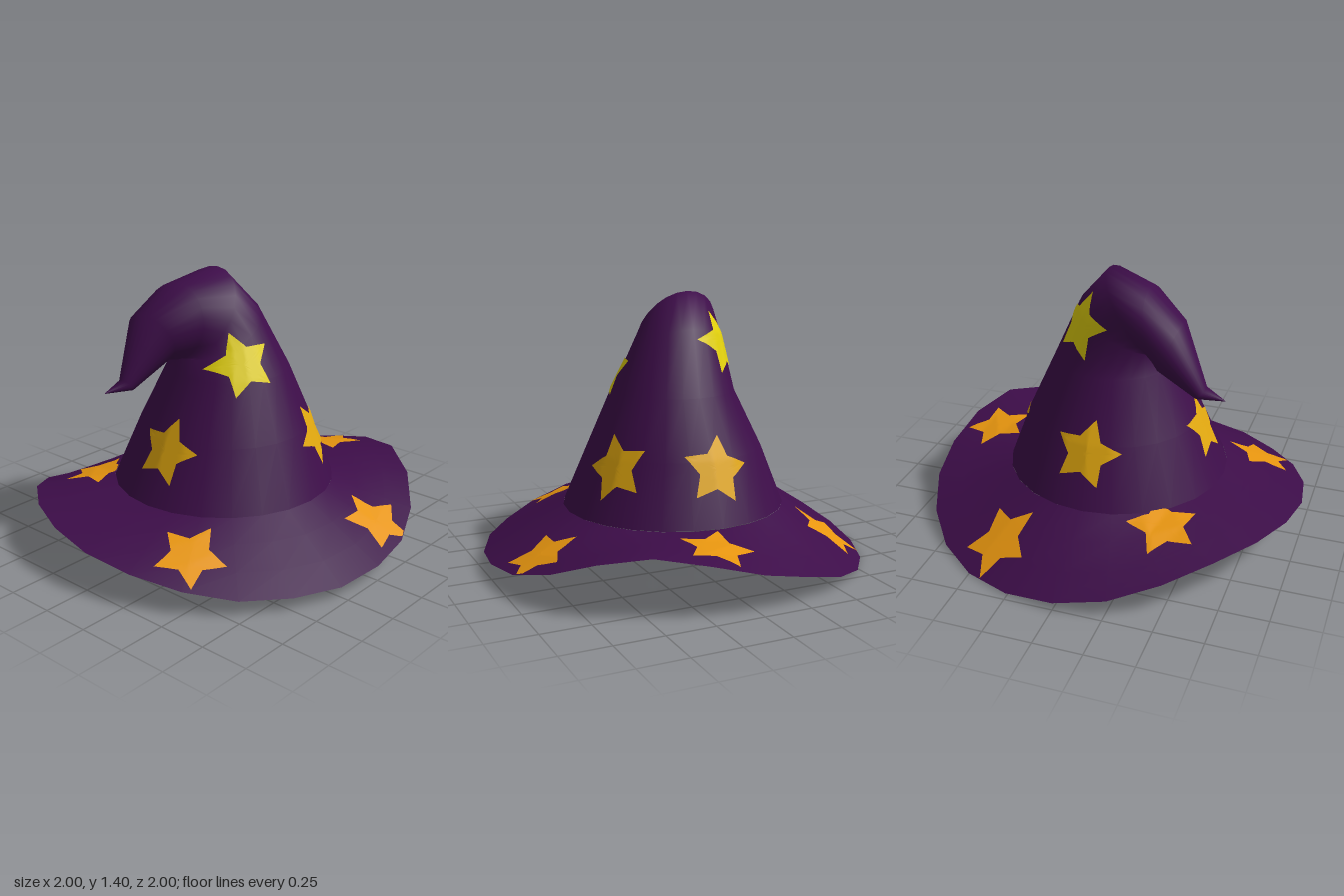
import * as THREE from 'three';

const SIDES = 24;
const V = (x, y, z) => new THREE.Vector3(x, y, z);

// Smooth surface through closed rings of equal point count
function loft(rings) {
  const n = rings[0].length, index = [];
  for (let r = 0; r < rings.length - 1; r++) {
    for (let i = 0; i < n; i++) {
      const a = r * n + i, b = r * n + (i + 1) % n;
      index.push(a, a + n, b, b, a + n, b + n);
    }
  }
  const geo = new THREE.BufferGeometry().setFromPoints(rings.flat());
  geo.setIndex(index);
  geo.computeVertexNormals();
  return geo;
}

const ring = (fn) => Array.from({ length: SIDES }, (_, i) => fn(i * 2 * Math.PI / SIDES, i));

// Crown ring: outer and inner profile points in x/y, then centre and half width in z
const crownRing = ([ox, oy, ix, iy, z, w]) => ring((a) => {
  const c = Math.cos(a);
  return V((ox + ix) / 2 + c * (ox - ix) / 2, (oy + iy) / 2 + c * (oy - iy) / 2, z + w * Math.sin(a));
});

// Five-pointed star laid onto a target surface, seen along direction n
function starPatch(target, centre, n, radius, turn) {
  const rows = 8, split = 5, count = 10 * split;
  const u = Math.abs(n.y) > 0.99 ? V(1, 0, 0) : V(0, 1, 0).cross(n).normalize();
  const v = n.clone().cross(u);
  const down = n.clone().negate();
  const caster = new THREE.Raycaster();
  const corner = (k) => {
    const a = THREE.MathUtils.degToRad(90 + turn + k * 36);
    const r = radius * (k % 2 ? 0.53 : 1);
    return new THREE.Vector2(Math.cos(a) * r, Math.sin(a) * r);
  };
  // Points past the rim are pulled inwards until they land
  const land = (p) => {
    for (let t = 1; t > 0.05; t *= 0.96) {
      const from = centre.clone().addScaledVector(u, p.x * t).addScaledVector(v, p.y * t).addScaledVector(n, 0.25);
      caster.set(from, down);
      const hit = caster.intersectObject(target)[0];
      if (hit && hit.distance < 0.6) return hit.point.addScaledVector(n, 0.006);
    }
    return centre.clone();
  };
  const points = [land(new THREE.Vector2())], index = [];
  for (let r = 1; r <= rows; r++) {
    for (let i = 0; i < count; i++) {
      const k = Math.floor(i / split);
      const p = corner(k).lerp(corner(k + 1), (i % split) / split);
      points.push(land(p.multiplyScalar(r / rows)));
      const j = (i + 1) % count, a = 1 + (r - 1) * count;
      if (r === 1) index.push(0, 1 + i, 1 + j);
      else index.push(a - count + i, a + i, a + j, a - count + i, a + j, a - count + j);
    }
  }
  const geo = new THREE.BufferGeometry().setFromPoints(points);
  geo.setIndex(index);
  geo.computeVertexNormals();
  return geo;
}

export function createModel() {
  const hat = new THREE.Group();
  hat.name = 'wizardHat';
  const material = (name, color, side = THREE.FrontSide) => {
    const m = new THREE.MeshStandardMaterial({ color, side });
    m.name = name;
    return m;
  };
  const felt = material('purple felt', 0x3d0d49, THREE.DoubleSide);
  const orange = material('orange star', 0xe8960f);
  const gold = material('gold star', 0xe2a80f);
  const yellow = material('yellow star', 0xe2d00c);
  const add = (name, geo, mat) => {
    const mesh = new THREE.Mesh(geo, mat);
    mesh.name = name;
    hat.add(mesh);
    return mesh;
  };

  // Wavy brim, from the rim to the crown
  const rimHeights = [
    0.2, 0.27, 0.31, 0.26, 0.17, 0.105, 0.08, 0.06, 0.068, 0.08, 0.12, 0.165,
    0.2, 0.235, 0.25, 0.235, 0.17, 0.09, 0.04, 0.01, 0, 0.02, 0.07, 0.14,
  ];
  const brim = add('brim', loft([0, 0.33, 0.67, 1].map((t) => ring((a, i) => {
    const r = THREE.MathUtils.lerp(1, 0.58, t);
    return V(r * Math.cos(a), THREE.MathUtils.lerp(rimHeights[i], 0.298, t), r * Math.sin(a));
  }))), felt);

  // Crown that folds over into a drooping tip
  const crown = add('crown', loft([
    [0.58, 0.3, -0.58, 0.295, 0, 0.58],
    [0.465, 0.61, -0.44, 0.6, 0, 0.455],
    [0.335, 0.9, -0.3, 0.9, 0.01, 0.32],
    [0.185, 1.22, -0.265, 0.985, -0.03, 0.25],
    [0.03, 1.4, -0.265, 0.97, -0.07, 0.215],
    [-0.2, 1.345, -0.265, 0.963, -0.13, 0.2],
    [-0.39, 1.21, -0.275, 0.955, -0.19, 0.15],
    [-0.52, 0.895, -0.47, 0.832, -0.215, 0.045],
    [-0.62, 0.85, -0.62, 0.846, -0.235, 0.002],
  ].map(crownRing)), felt);

  // Stars on the brim: x, z, radius, turn
  [
    [0.39, -0.72, 0.18, -12],
    [-0.41, -0.54, 0.185, -8],
    [0.77, 0.13, 0.185, -10],
    [-0.7, 0.4, 0.18, -10],
    [0.24, 0.82, 0.18, -10],
  ].forEach(([x, z, r, turn]) => add('brimStar', starPatch(brim, V(x, 0.24, z), V(0, 1, 0), r, turn), orange));

  // Stars round the lower crown: angle, turn
  [[61, 20], [-2, -11], [-88, -10], [178, -10]].forEach(([deg, turn]) => {
    const a = THREE.MathUtils.degToRad(deg), c = Math.cos(a), s = Math.sin(a);
    add('lowerCrownStar', starPatch(crown, V(0.475 * c, 0.565, 0.475 * s), V(c, 0.4, s).normalize(), 0.178, turn), gold);
  });

  // Stars near the fold
  add('frontUpperStar', starPatch(crown, V(-0.135, 0.98, 0.24), V(-0.3, 0.4, 0.87).normalize(), 0.172, 12), yellow);
  add('backUpperStar', starPatch(crown, V(0.13, 1.13, -0.2), V(0.62, 0.4, -0.7).normalize(), 0.18, -4), yellow);

  return hat;
}
